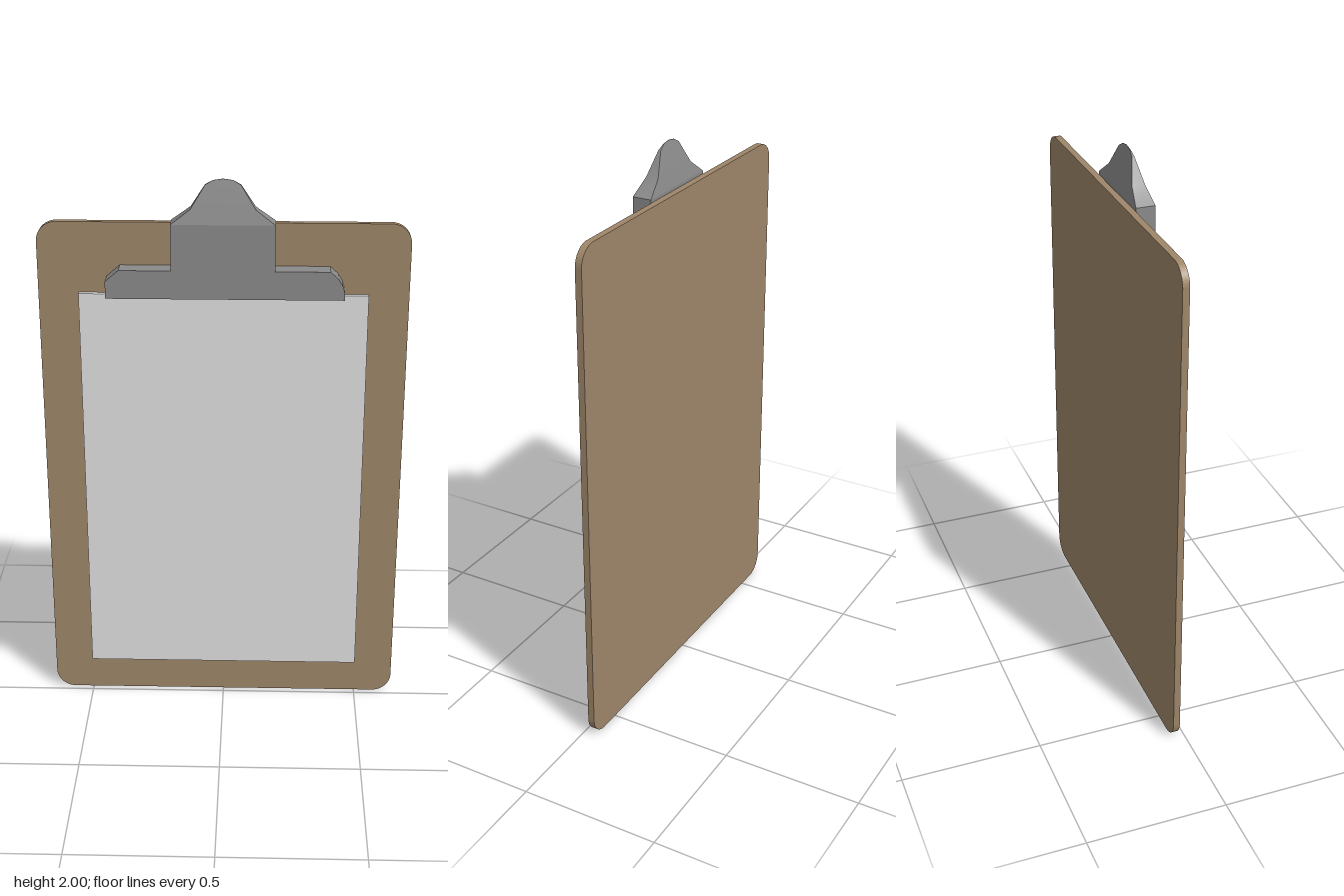
import * as THREE from 'three';
import { toCreasedNormals } from 'three/addons/utils/BufferGeometryUtils.js';

// Extrude a shape between two depths
function slab(shape, back, front) {
  const geo = new THREE.ExtrudeGeometry(shape, { depth: front - back, bevelEnabled: false, curveSegments: 10 });
  return geo.translate(0, 0, back);
}

function polygon(points) {
  return new THREE.Shape(points.map(([x, y]) => new THREE.Vector2(x, y)));
}

function roundedRect(w, h, r) {
  const s = new THREE.Shape();
  s.absarc(w - r, r, r, -Math.PI / 2, 0);
  s.absarc(w - r, h - r, r, 0, Math.PI / 2);
  s.absarc(-w + r, h - r, r, Math.PI / 2, Math.PI);
  s.absarc(-w + r, r, r, Math.PI, Math.PI * 1.5);
  s.closePath();
  return s;
}

export function createModel() {
  const group = new THREE.Group();
  group.name = 'clipboard';
  const wood = new THREE.MeshStandardMaterial({ name: 'brown board', color: 0x9e8669 });
  const white = new THREE.MeshStandardMaterial({ name: 'white paper', color: 0xe0e0e0 });
  const metal = new THREE.MeshStandardMaterial({ name: 'grey metal', color: 0x8a8a8a });

  const add = (name, geo, material, parent = group) => {
    const mesh = new THREE.Mesh(geo, material);
    mesh.name = name;
    parent.add(mesh);
  };

  // Backing board with rounded corners
  add('board', toCreasedNormals(slab(roundedRect(0.64, 1.84, 0.07), -0.047, -0.023), 0.6), wood);

  // Paper stack
  const paper = new THREE.BoxGeometry(1.0, 1.46, 0.017);
  paper.translate(0, 0.86, -0.0145);
  add('paper', paper, white);

  // Clip: wide jaw, chamfered on one end and rounded on the other, with an upright plate
  const clip = new THREE.Group();
  clip.name = 'clip';
  group.add(clip);
  const back = -0.021, front = 0.047, shoulder = 1.85, top = 2.0;
  const body = polygon([
    [-0.402, 1.59], [0.415, 1.59], [0.415, 1.615], [0.408, 1.64], [0.392, 1.666], [0.365, 1.69],
    [0.177, 1.69], [0.177, shoulder], [-0.177, shoulder], [-0.177, 1.69], [-0.355, 1.69], [-0.402, 1.65],
  ]);
  add('clipJaw', toCreasedNormals(slab(body, back, front), 0.5), metal, clip);

  // Thumb lever, thinning to an edge at its top
  const side = [[0.177, shoulder], [0.11, 1.9], [0.085, 1.94], [0.06, 1.98], [0.033, 1.995]];
  const lever = slab(polygon([...side, [0, top], ...side.slice().reverse().map(([x, y]) => [-x, y])]), back, front);
  const p = lever.attributes.position, mid = (back + front) / 2;
  for (let i = 0; i < p.count; i++) {
    const t = (top - p.getY(i)) / (top - shoulder);
    p.setZ(i, mid + (p.getZ(i) - mid) * Math.max(t, 0.02));
  }
  lever.computeVertexNormals();
  add('thumbLever', toCreasedNormals(lever, 0.5), metal, clip);

  return group;
}
